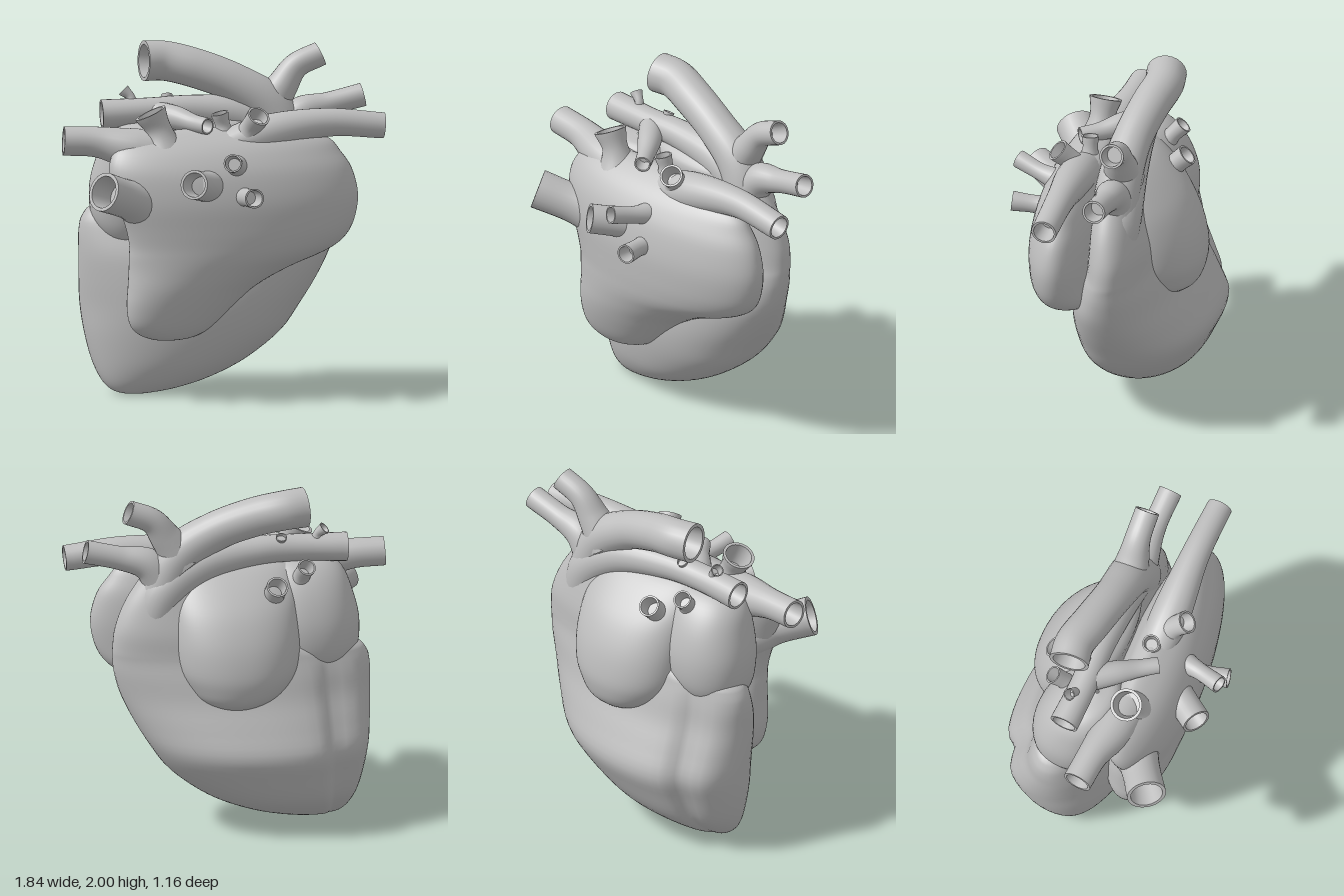
import * as THREE from 'three';

const TAU = Math.PI * 2;
const V = (x, y, z) => new THREE.Vector3(x, y, z);

// Smooth closed-ring skin: rings of equal point counts, joined in order
function skin(rings) {
  const n = rings[0].length, pos = [], idx = [];
  rings.forEach(r => r.forEach(p => pos.push(p.x, p.y, p.z)));
  for (let j = 0; j < rings.length - 1; j++) {
    for (let i = 0; i < n; i++) {
      const a = j * n + i, b = j * n + (i + 1) % n;
      idx.push(a, a + n, b, b, a + n, b + n);
    }
  }
  const g = new THREE.BufferGeometry();
  g.setAttribute('position', new THREE.Float32BufferAttribute(pos, 3));
  g.setIndex(idx);
  g.computeVertexNormals();
  return g;
}

// Rounded body from rows of [y, xMin, xMax, zMin, zMax]; lean moves its +x edge in z
function loft(rows, power, { lean = 0, groove = 0, grooveAngle = 0 } = {}) {
  const cx = new THREE.CatmullRomCurve3(rows.map(r => V(r[1], r[0], r[2])), false, 'catmullrom', 0.5);
  const cz = new THREE.CatmullRomCurve3(rows.map(r => V(r[3], r[0], r[4])), false, 'catmullrom', 0.5);
  const steps = (rows.length - 1) * 4, rings = [], p = 2 / power;
  const curve = v => Math.sign(v) * Math.abs(v) ** p;
  for (let j = 0; j <= steps; j++) {
    const X = cx.getPoint(j / steps), Z = cz.getPoint(j / steps), ring = [];
    const rx = (X.z - X.x) / 2, rz = (Z.z - Z.x) / 2;
    for (let i = 0; i < 64; i++) {
      const a = i / 64 * TAU;
      const k = 1 - groove * Math.exp(-(((a - grooveAngle) / 0.15) ** 2));
      const u = k * curve(Math.cos(a)), w = k * curve(Math.sin(a));
      ring.push(V((X.x + X.z) / 2 + u * rx, X.y, (Z.x + Z.z) / 2 + (w + lean * u) * rz));
    }
    rings.push(ring);
  }
  return skin(rings);
}

// Vessel along a path of [x, y, z, radius], ending in a thick open rim
function vessel(path, material, name, sides = 24) {
  const curve = new THREE.CatmullRomCurve3(path.map(p => V(p[0], p[1], p[2])));
  const radii = new THREE.CatmullRomCurve3(path.map(p => V(p[3], 0, 0)), false, 'catmullrom', 0.5);
  const steps = (path.length - 1) * 8, rings = [];
  let normal = null;
  // Each ring carries the previous ring's normal along, so the wall never twists
  const ringAt = (t, r) => {
    const c = curve.getPoint(t), T = curve.getTangent(t);
    if (!normal) normal = Math.abs(T.y) < 0.8 ? V(0, 1, 0) : V(0, 0, 1);
    normal.addScaledVector(T, -normal.dot(T)).normalize();
    const B = T.clone().cross(normal);
    return Array.from({ length: sides }, (_, i) => {
      const a = i / sides * TAU;
      return c.clone().addScaledVector(normal, Math.cos(a) * r).addScaledVector(B, -Math.sin(a) * r);
    });
  };
  for (let i = 0; i <= steps; i++) rings.push(ringAt(i / steps, radii.getPoint(i / steps).x));
  const end = path[path.length - 1][3], tip = ringAt(1, end);
  const inner = ringAt(1, end * 0.82);
  const back = curve.getTangent(1).multiplyScalar(-Math.min(0.14, end * 1.6));
  const deep = ringAt(1, end * 0.68).map(p => p.add(back));
  const floor = ringAt(1, 0.0001).map(p => p.add(back));
  const group = new THREE.Group();
  group.name = name;
  [['wall', rings], ['rim', [tip, inner]], ['bore', [inner, deep]], ['boreFloor', [deep, floor]]].forEach(([part, r]) => {
    const m = new THREE.Mesh(skin(r), material);
    m.name = part;
    group.add(m);
  });
  return group;
}

export function createModel() {
  const model = new THREE.Group();
  model.name = 'heart';
  const grey = new THREE.MeshStandardMaterial({ color: 0xbebebe });
  grey.name = 'grey';
  const add = (name, geometry) => {
    const m = new THREE.Mesh(geometry, grey);
    m.name = name;
    model.add(m);
  };

  // Large rear chamber, tapering up towards the arched vessels
  add('rearVentricle', loft([
    [0, -0.5, -0.48, -0.085, -0.075], [0.012, -0.58, -0.38, -0.15, -0.01],
    [0.04, -0.635, -0.22, -0.23, 0.03], [0.1, -0.68, -0.03, -0.33, 0.08],
    [0.2, -0.72, 0.17, -0.44, 0.13], [0.35, -0.755, 0.36, -0.52, 0.17],
    [0.5, -0.775, 0.47, -0.575, 0.19], [0.65, -0.785, 0.56, -0.52, 0.185],
    [0.8, -0.79, 0.63, -0.45, 0.16], [0.93, -0.79, 0.665, -0.41, 0.11],
    [1.02, -0.765, 0.675, -0.38, 0.07], [1.08, -0.68, 0.675, -0.365, 0.04],
    [1.2, -0.3, 0.66, -0.335, 0.01], [1.35, 0, 0.6, -0.285, -0.01],
    [1.5, 0.12, 0.5, -0.24, -0.03], [1.6, 0.18, 0.42, -0.21, -0.06],
    [1.66, 0.29, 0.3, -0.15, -0.14],
  ], 2.15, { lean: 0.08, groove: 0.1, grooveAngle: 3.95 }));

  // Front chambers: narrow lower lobe widening to the upper side lobe
  add('frontChambers', loft([
    [0.345, -0.34, -0.32, 0.17, 0.19], [0.355, -0.43, -0.2, 0.1, 0.25],
    [0.39, -0.51, -0.11, 0.05, 0.29], [0.45, -0.555, -0.035, 0.02, 0.325],
    [0.55, -0.57, 0.07, -0.02, 0.36], [0.65, -0.565, 0.19, -0.05, 0.385],
    [0.75, -0.56, 0.38, -0.07, 0.4], [0.83, -0.56, 0.57, -0.06, 0.41],
    [0.9, -0.56, 0.675, -0.05, 0.415], [1.0, -0.58, 0.735, -0.035, 0.42],
    [1.15, -0.63, 0.76, -0.03, 0.42], [1.3, -0.67, 0.725, -0.02, 0.39],
    [1.4, -0.66, 0.66, 0, 0.34], [1.47, -0.6, 0.6, 0.03, 0.28],
    [1.52, -0.46, 0.48, 0.06, 0.21], [1.545, -0.2, 0.25, 0.11, 0.16],
    [1.55, 0.03, 0.05, 0.13, 0.14],
  ], 2.05, { lean: -0.25 }));

  // Rear upper lobes
  add('rearLobe', loft([
    [0.745, -0.02, 0, -0.33, -0.31], [0.765, -0.14, 0.12, -0.43, -0.1],
    [0.82, -0.25, 0.22, -0.505, -0.05], [0.9, -0.33, 0.28, -0.535, 0],
    [1.0, -0.37, 0.32, -0.54, 0], [1.15, -0.38, 0.34, -0.505, 0],
    [1.3, -0.38, 0.34, -0.43, 0], [1.42, -0.38, 0.32, -0.33, 0],
    [1.52, -0.35, 0.28, -0.22, 0], [1.57, -0.25, 0.2, -0.13, -0.05],
    [1.58, -0.03, 0.01, -0.1, -0.08],
  ], 2.15));
  add('sideLobe', loft([
    [0.85, -0.52, -0.5, -0.11, -0.09], [0.88, -0.62, -0.38, -0.22, 0.03],
    [0.95, -0.69, -0.32, -0.3, 0.08], [1.05, -0.73, -0.24, -0.345, 0.11],
    [1.2, -0.735, -0.2, -0.35, 0.13], [1.35, -0.7, -0.2, -0.31, 0.13],
    [1.47, -0.65, -0.2, -0.24, 0.12], [1.54, -0.56, -0.25, -0.15, 0.08],
    [1.56, -0.41, -0.39, -0.03, -0.01],
  ], 2.15));

  // Vessels and stubs: points are [x, y, z, radius], root first
  const vessels = {
    mainArch: [[0.42, 1.1, -0.17, 0.1], [0.39, 1.4, -0.14, 0.13], [0.3, 1.61, -0.145, 0.125],
      [0.1, 1.75, -0.155, 0.112], [-0.13, 1.84, -0.185, 0.112], [-0.3, 1.88, -0.21, 0.113], [-0.415, 1.885, -0.19, 0.115]],
    upperBranch: [[0.27, 1.58, -0.15, 0.12], [0.37, 1.73, -0.16, 0.09], [0.45, 1.84, -0.17, 0.073], [0.59, 1.905, -0.18, 0.07]],
    sideBranch: [[0.36, 1.42, -0.14, 0.12], [0.47, 1.57, -0.145, 0.095], [0.63, 1.62, -0.15, 0.068], [0.83, 1.67, -0.15, 0.067]],
    rearArch: [[0.45, 1.1, -0.17, 0.1], [0.38, 1.4, -0.16, 0.13], [0.18, 1.55, -0.145, 0.115],
      [-0.15, 1.61, -0.12, 0.085], [-0.4, 1.61, -0.1, 0.078], [-0.67, 1.6, -0.1, 0.083]],
    archOffshoot: [[-0.36, 1.6, -0.08, 0.07], [-0.26, 1.59, 0.03, 0.068], [-0.18, 1.575, 0.13, 0.052], [-0.11, 1.57, 0.225, 0.047]],
    leftTopVessel: [[-0.05, 1.41, 0.15, 0.1], [0.22, 1.5, 0.145, 0.112], [0.58, 1.56, 0.125, 0.082], [0.91, 1.535, 0.12, 0.073]],
    rightTopVessel: [[-0.15, 1.38, 0.15, 0.13], [-0.5, 1.43, 0.14, 0.122], [-0.72, 1.475, 0.11, 0.088], [-0.915, 1.485, 0.1, 0.083]],
    rightFrontVessel: [[-0.2, 1.1, 0.1, 0.1], [-0.44, 1.13, 0.22, 0.15], [-0.58, 1.18, 0.335, 0.112], [-0.735, 1.245, 0.45, 0.112]],
    largeFrontStub: [[-0.08, 1.23, 0.26, 0.12], [-0.15, 1.255, 0.4, 0.088], [-0.23, 1.285, 0.52, 0.084]],
    upperFrontStub: [[0.05, 1.34, 0.26, 0.08], [0.025, 1.37, 0.41, 0.05], [-0.015, 1.41, 0.56, 0.052]],
    lowerFrontStub: [[0.06, 1.18, 0.28, 0.08], [0.08, 1.19, 0.42, 0.052], [0.11, 1.205, 0.56, 0.056]],
    wideTopStub: [[-0.35, 1.4, 0.18, 0.14], [-0.38, 1.54, 0.18, 0.075], [-0.43, 1.645, 0.175, 0.093]],
    middleTopStub: [[0, 1.45, 0.14, 0.09], [-0.01, 1.55, 0.135, 0.045], [-0.03, 1.63, 0.14, 0.05]],
    leftTopStub: [[0.11, 1.43, 0.15, 0.12], [0.14, 1.55, 0.2, 0.064], [0.175, 1.63, 0.27, 0.066]],
    rearStub: [[-0.22, 1.28, -0.2, 0.1], [-0.225, 1.4, -0.29, 0.062], [-0.235, 1.48, -0.37, 0.062]],
    rearSideStub: [[-0.38, 1.35, -0.15, 0.09], [-0.395, 1.48, -0.22, 0.05], [-0.415, 1.56, -0.29, 0.052]],
    smallArchStub: [[-0.5, 1.62, -0.11, 0.05], [-0.5, 1.69, -0.115, 0.025], [-0.54, 1.73, -0.13, 0.036]],
    tinyArchStub: [[-0.29, 1.62, -0.11, 0.045], [-0.29, 1.66, -0.13, 0.027], [-0.29, 1.695, -0.15, 0.032]],
  };
  for (const [name, path] of Object.entries(vessels)) model.add(vessel(path, grey, name));
  return model;
}
